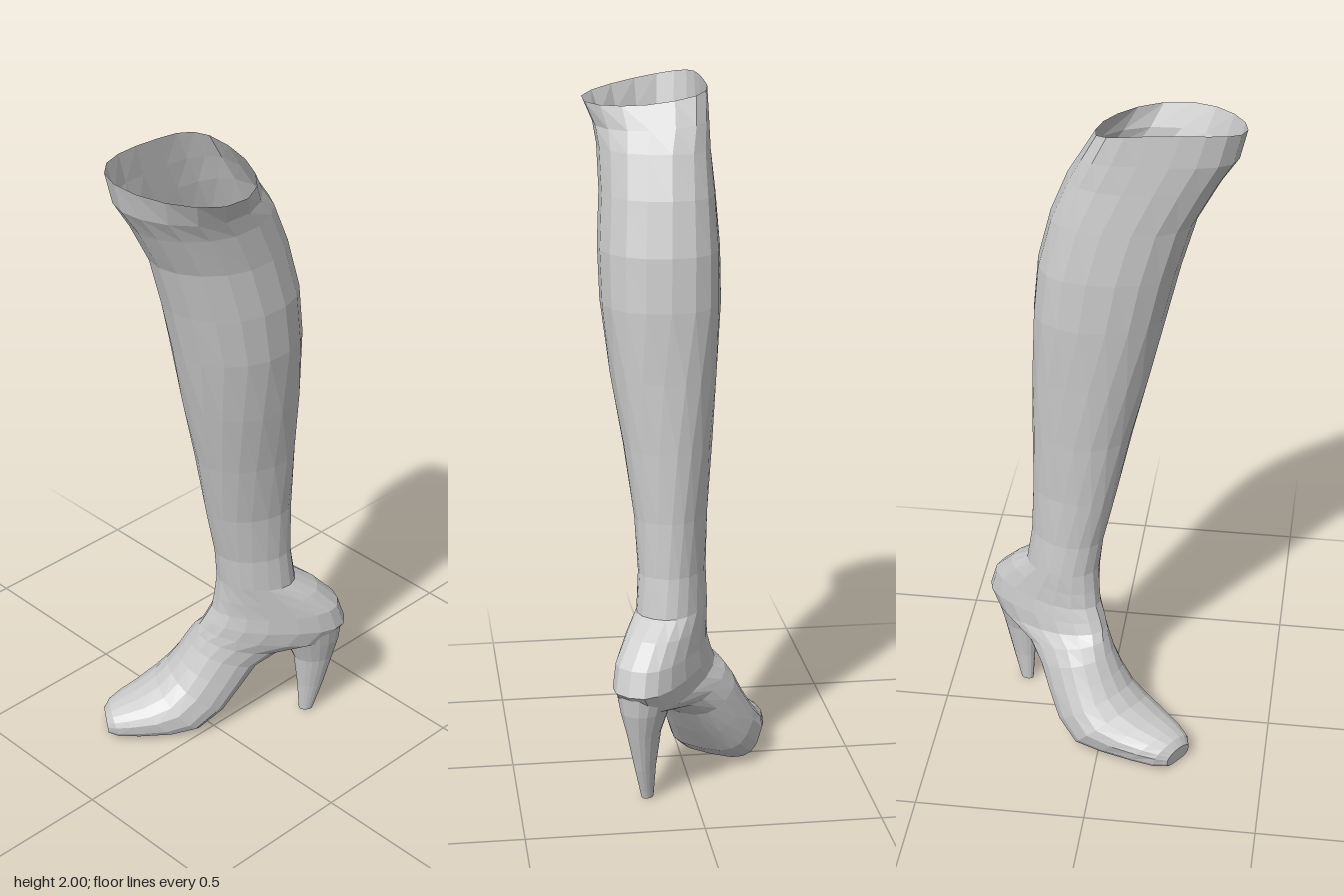
import * as THREE from 'three';

const SIDES = 18;
const FOOT = 0.62; // the toe points outward by this angle

// One ring. s runs toward the toe, t sideways; (sf, yf) is its front end, (sb, yb) its back end.
function ring({ sf, yf, sb, yb, half, t = 0, angle = FOOT, square = 1, bow = 0, slope = 0 }) {
  const sin = Math.sin(angle), cos = Math.cos(angle), points = [];
  for (let j = 0; j < SIDES; j++) {
    const th = (j / SIDES) * Math.PI * 2;
    const c = Math.cos(th), n = Math.sin(th);
    const p = c < 0 ? square : 1; // squarer back and underside
    const u = Math.sign(c) * Math.abs(c) ** p;
    const v = Math.sign(n) * Math.abs(n) ** p;
    const s = (sf + sb) / 2 + (u * (sf - sb)) / 2;
    const y = (yf + yb) / 2 + (u * (yf - yb)) / 2 + slope * v;
    const w = t + half * v + bow * u * u;
    points.push([-sin * s + cos * w, y, cos * s + sin * w]);
  }
  return points;
}

// Skin a list of rings, optionally closing the last one.
function loft(name, rings, cap, material) {
  const pos = rings.flat(2), index = [];
  for (let i = 0; i < rings.length - 1; i++) {
    for (let j = 0; j < SIDES; j++) {
      const a = i * SIDES + j, b = i * SIDES + ((j + 1) % SIDES);
      index.push(a, a + SIDES, b + SIDES, a, b + SIDES, b);
    }
  }
  if (cap) {
    const last = rings[rings.length - 1], centre = pos.length / 3;
    const start = (rings.length - 1) * SIDES;
    for (let k = 0; k < 3; k++) pos.push(last.reduce((sum, p) => sum + p[k], 0) / SIDES);
    for (let j = 0; j < SIDES; j++) index.push(centre, start + ((j + 1) % SIDES), start + j);
  }
  const geometry = new THREE.BufferGeometry();
  geometry.setAttribute('position', new THREE.Float32BufferAttribute(pos, 3));
  geometry.setIndex(index);
  geometry.computeVertexNormals();
  const mesh = new THREE.Mesh(geometry, material);
  mesh.name = name;
  return mesh;
}

// Shaft ring from its extents in x and z, turning gradually toward the foot's direction.
function shaftRing([y, x0, x1, z0, z1, bow, slope = 0, rise = 0]) {
  const angle = FOOT * THREE.MathUtils.clamp((1.4 - y) / 0.85, 0, 1);
  const cx = (x0 + x1) / 2, cz = (z0 + z1) / 2, r = (z1 - z0) / 2;
  const s = -Math.sin(angle) * cx + Math.cos(angle) * cz;
  const t = Math.cos(angle) * cx + Math.sin(angle) * cz;
  return ring({
    sf: s + r, sb: s - r, yf: y + rise, yb: y - rise,
    half: (x1 - x0) / 2, t, angle, square: 0.85, bow, slope,
  });
}

const footRing = ([sf, yf, sb, yb, half, t, square = 1]) => ring({ sf, yf, sb, yb, half, t, square });

export function createModel() {
  const group = new THREE.Group();
  group.name = 'heeledBoot';
  const material = new THREE.MeshStandardMaterial({
    color: 0xcccccc, flatShading: true, side: THREE.DoubleSide,
  });

  // Leg: y, x range, z range, sideways bow, then sideways slope and front rise of the rim
  const shaft = [
    [1.968, -0.08, 0.26, -0.033, 0.372, -0.07, -0.028, 0.012],
    [1.89, -0.085, 0.232, -0.075, 0.352, -0.05, -0.015, 0.005],
    [1.82, -0.09, 0.225, -0.112, 0.305, -0.03],
    [1.7, -0.098, 0.225, -0.16, 0.242, -0.02],
    [1.55, -0.106, 0.235, -0.198, 0.2, -0.015],
    [1.4, -0.106, 0.232, -0.212, 0.165, -0.01],
    [1.2, -0.095, 0.207, -0.215, 0.12, -0.005],
    [1.0, -0.078, 0.172, -0.22, 0.072, 0],
    [0.8, -0.06, 0.14, -0.225, 0.03, 0],
    [0.64, -0.05, 0.13, -0.232, -0.005, 0],
  ].map(shaftRing);

  // Ankle, heel cup, arch and toe: front end, back end, half width, sideways centre, squareness
  const foot = [
    [-0.015, 0.54, -0.25, 0.525, 0.093, -0.043, 0.85],
    [-0.008, 0.475, -0.32, 0.48, 0.095, -0.045, 0.8],
    [0.0, 0.425, -0.385, 0.415, 0.097, -0.047, 0.75],
    [0.02, 0.385, -0.408, 0.345, 0.1, -0.05, 0.75],
    [0.035, 0.355, -0.36, 0.285, 0.096, -0.055, 0.75],
    [0.05, 0.33, -0.22, 0.255, 0.097, -0.07, 0.8],
    [0.07, 0.29, -0.15, 0.21, 0.104, -0.08, 0.75],
    [0.1, 0.235, -0.1, 0.14, 0.114, -0.084, 0.7],
    [0.13, 0.19, -0.04, 0.06, 0.126, -0.085, 0.65],
    [0.17, 0.15, 0.04, 0.008, 0.135, -0.078, 0.6],
    [0.23, 0.118, 0.12, 0.002, 0.12, -0.063, 0.55],
    [0.285, 0.098, 0.22, 0.002, 0.096, -0.05, 0.55],
    [0.315, 0.084, 0.29, 0.002, 0.074, -0.042, 0.55],
    [0.332, 0.062, 0.325, 0.008, 0.048, -0.038, 0.6],
  ].map(footRing);

  // Tapered heel: front, back, height, half width
  const heel = [
    [-0.19, -0.4, 0.345, 0.085],
    [-0.225, -0.393, 0.28, 0.066],
    [-0.255, -0.376, 0.21, 0.045],
    [-0.268, -0.348, 0.1, 0.027],
    [-0.275, -0.318, 0.004, 0.016],
  ].map(([sf, sb, y, half]) => footRing([sf, y, sb, y, half, -0.048]));

  group.add(
    loft('shaft', [...shaft, foot[0]], false, material),
    loft('foot', foot, true, material),
    loft('heel', heel, true, material),
  );
  return group;
}
